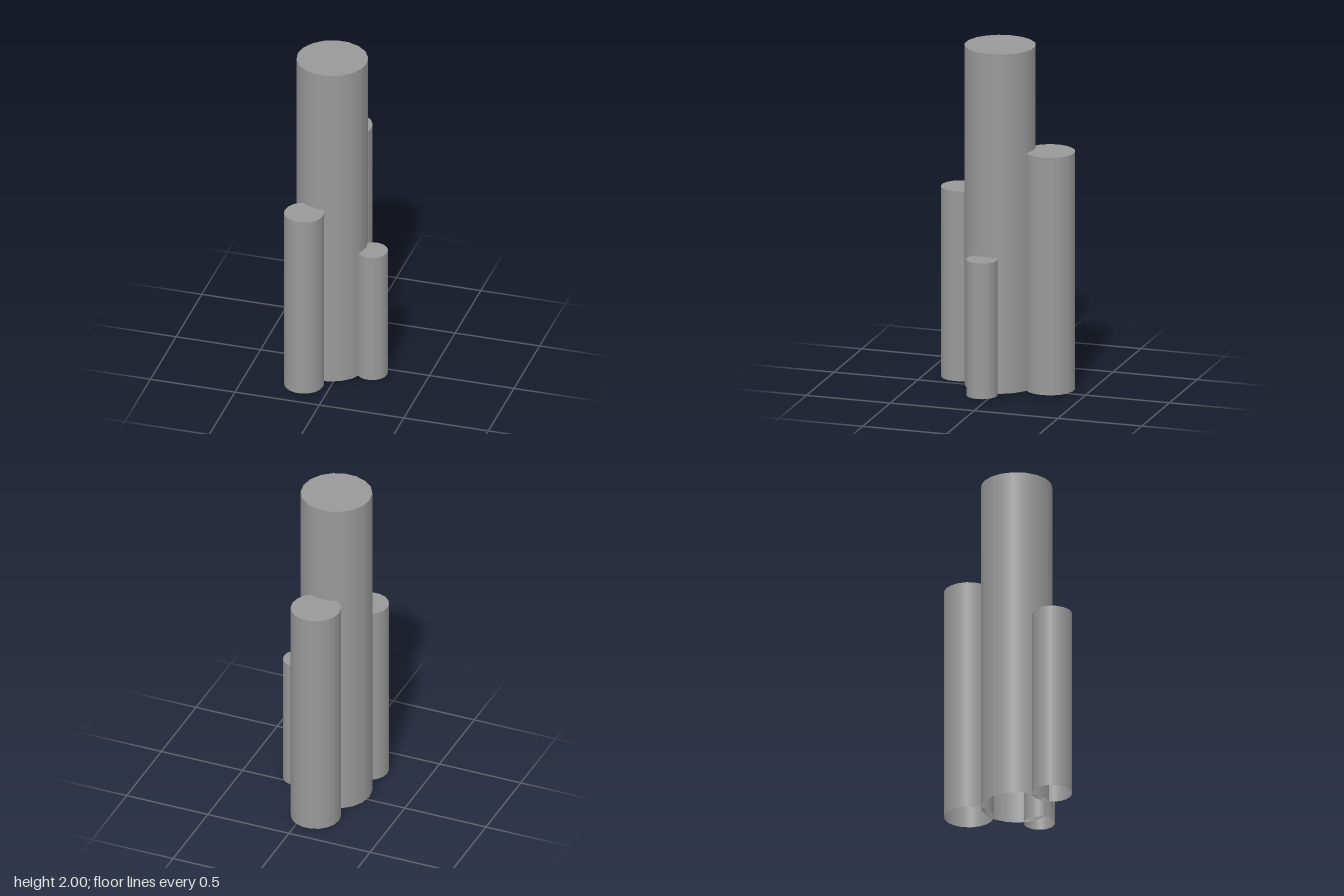
import * as THREE from 'three';
import { mergeGeometries } from 'three/addons/utils/BufferGeometryUtils.js';

const SIDES = 18;

// Upright column: smooth wall, flat top, open underside
function columnGeometry(radius, height) {
  const wall = new THREE.CylinderGeometry(radius, radius, height, SIDES, 1, true, Math.PI / 2);
  wall.translate(0, height / 2, 0);
  const top = new THREE.CircleGeometry(radius, SIDES);
  top.rotateX(-Math.PI / 2).translate(0, height, 0);
  return mergeGeometries([wall, top]);
}

export function createModel() {
  const group = new THREE.Group();
  group.name = 'columnCluster';
  const material = new THREE.MeshStandardMaterial({ color: 0x999999, side: THREE.DoubleSide });

  // name, radius, height, x, z
  const columns = [
    ['mainColumn', 0.2035, 2, -0.066, 0.031],
    ['backColumn', 0.1425, 1.4, -0.066, -0.267],
    ['frontColumn', 0.114, 1.12, -0.153, 0.294],
    ['leftColumn', 0.0895, 0.8, 0.179, 0.059],
  ];
  for (const [name, radius, height, x, z] of columns) {
    const mesh = new THREE.Mesh(columnGeometry(radius, height), material);
    mesh.name = name;
    mesh.position.set(x, 0, z);
    group.add(mesh);
  }
  return group;
}
